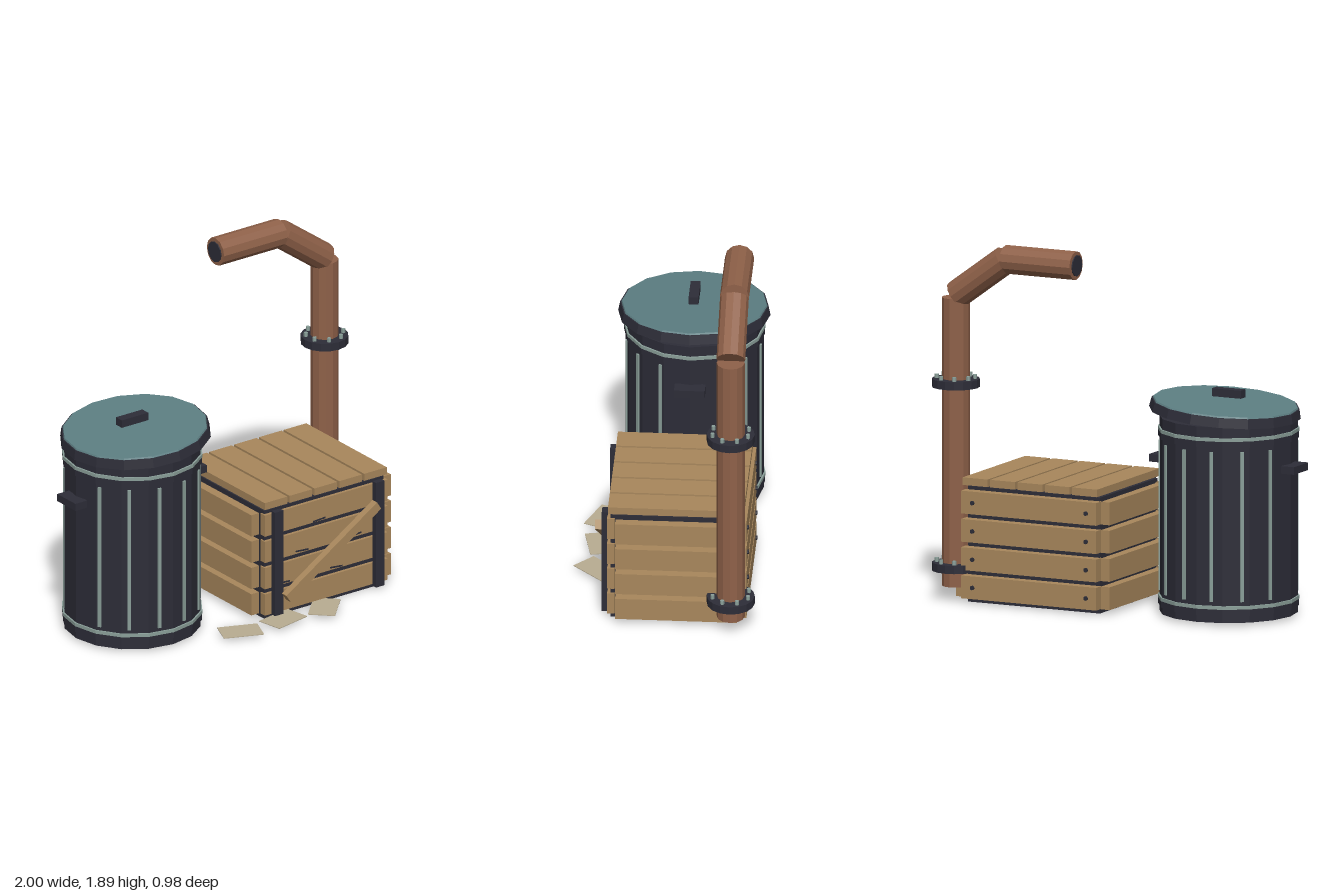
import * as THREE from 'three';

const mat = (name, color) => {
  const m = new THREE.MeshStandardMaterial({ color, flatShading: true });
  m.name = name;
  return m;
};

export function createModel() {
  const root = new THREE.Group();
  root.name = 'alleyProps';
  const dark = mat('darkMetal', 0x2d2d38);
  const teal = mat('lidTeal', 0x5d7f83);
  const trim = mat('paleTrim', 0x8a9f99);
  const wood = mat('crateWood', 0xa8875c);
  const rust = mat('rustyPipe', 0x8f6149);
  const paper = mat('paper', 0xb9ad92);

  const add = (parent, name, geo, m, x, y, z) => {
    const mesh = new THREE.Mesh(geo, m);
    mesh.name = name;
    mesh.position.set(x, y, z);
    parent.add(mesh);
    return mesh;
  };
  const group = (name) => {
    const g = new THREE.Group();
    g.name = name;
    root.add(g);
    return g;
  };
  // box given by its extents along each axis
  const span = (parent, name, m, x0, x1, y0, y1, z0, z1) =>
    add(parent, name, new THREE.BoxGeometry(x1 - x0, y1 - y0, z1 - z0), m,
      (x0 + x1) / 2, (y0 + y1) / 2, (z0 + z1) / 2);
  const cyl = (r, h, n, r2 = r) => new THREE.CylinderGeometry(r, r2, h, n);

  // ---- Trash can ----
  const can = group('trashCan');
  can.position.set(-0.575, 0, -0.085);
  add(can, 'canBody', cyl(0.36, 1.03, 16), dark, 0, 0.535, 0);
  for (const y of [0.1, 0.985]) {
    add(can, 'paleHoop', cyl(0.369, 0.018, 16), trim, 0, y, 0);
    add(can, 'darkHoop', cyl(0.367, 0.034, 16), dark, 0, y - 0.026, 0);
  }
  // vertical ribs, leaving out the two under the handles
  for (let i = 0; i < 14; i++) {
    const a = (i + 0.5) * Math.PI / 7;
    if (Math.abs(Math.cos(a)) < 0.01) continue;
    const rib = add(can, 'rib', new THREE.BoxGeometry(0.018, 0.79, 0.016), trim,
      Math.sin(a) * 0.355, 0.525, Math.cos(a) * 0.355);
    rib.rotation.y = a;
  }
  for (const s of [-1, 1])
    add(can, 'sideHandle', new THREE.BoxGeometry(0.075, 0.04, 0.16), dark, s * 0.3855, 0.805, 0);

  // tilted lid
  const lid = new THREE.Group();
  lid.name = 'lid';
  lid.position.set(0.02, 1.09, 0);
  lid.rotation.z = 0.078;
  can.add(lid);
  add(lid, 'lidRim', cyl(0.386, 0.05, 16, 0.396), dark, 0, 0, 0);
  add(lid, 'lidTop', cyl(0.376, 0.008, 16, 0.38), teal, 0, 0.029, 0);
  add(can, 'lidHandle', new THREE.BoxGeometry(0.17, 0.042, 0.052), dark, 0, 1.17, 0);

  // ---- Crate ----
  const crate = group('crate');
  span(crate, 'crateCore', dark, 0.02, 0.79, 0.005, 0.615, -0.39, 0.262);
  for (let i = 0; i < 4; i++) {
    const y0 = 0.03 + i * 0.149, y1 = y0 + 0.12;
    span(crate, 'frontPlank', wood, 0.012, 0.802, y0, y1, 0.24, 0.28);
    span(crate, 'backPlank', wood, 0.012, 0.802, y0, y1, -0.445, -0.385);
    span(crate, 'leftPlank', wood, 0.805, 0.855, y0, y1, -0.4, 0.235);
    span(crate, 'rightPlank', wood, -0.043, 0.007, y0, y1, -0.4, 0.235);
    // nails on the back planks
    for (const x of [0.072, 0.735]) {
      const nail = add(crate, 'nail', cyl(0.012, 0.012, 8), dark, x, y0 + 0.06, -0.447);
      nail.rotation.x = Math.PI / 2;
    }
  }
  for (let i = 0; i < 5; i++) {
    const x0 = 0.015 + i * 0.16;
    span(crate, 'topSlat', wood, x0, x0 + 0.145, 0.625, 0.665, -0.43, 0.275);
  }
  for (const x of [0.055, 0.705])
    span(crate, 'frontPost', dark, x, x + 0.055, 0.02, 0.612, 0.278, 0.31);
  const brace = add(crate, 'diagonalBrace', new THREE.BoxGeometry(0.695, 0.05, 0.04), wood, 0.405, 0.312, 0.329);
  brace.rotation.z = 0.575;
  // splits in the front planks
  const splits = [[0.36, 0.485, 0.06], [0.25, 0.34, -0.08], [0.59, 0.34, 0.1], [0.13, 0.19, -0.06], [0.47, 0.19, -0.1]];
  for (const [x, y, a] of splits) {
    const split = add(crate, 'woodSplit', new THREE.BoxGeometry(0.08, 0.008, 0.005), dark, x, y, 0.281);
    split.rotation.z = a;
  }

  // ---- Pipe ----
  const pipe = group('pipe');
  pipe.position.set(0.872, 0, -0.368);
  add(pipe, 'uprightPipe', cyl(0.073, 1.52, 12), rust, 0, 0.84, 0);
  const elbow = add(pipe, 'elbowPipe', cyl(0.075, 0.35, 12), rust, -0.148, 1.717, 0);
  elbow.rotation.z = Math.atan2(0.278, 0.203);
  const spout = add(pipe, 'spoutPipe', cyl(0.076, 0.41, 12), rust, -0.497, 1.823, 0);
  spout.rotation.z = Math.PI / 2;
  const mouth = add(pipe, 'spoutMouth', cyl(0.056, 0.006, 12), dark, -0.707, 1.823, 0);
  mouth.rotation.z = Math.PI / 2;
  for (const y of [0.182, 1.15]) {
    add(pipe, 'flange', cyl(0.125, 0.043, 16), dark, 0, y, 0);
    for (let i = 0; i < 8; i++) {
      const a = i * Math.PI / 4 + Math.PI / 8;
      add(pipe, 'bolt', cyl(0.011, 0.024, 6), trim, Math.sin(a) * 0.1, y + 0.032, Math.cos(a) * 0.1);
    }
  }

  // ---- Scattered papers ----
  const papers = group('papers');
  for (const [x, z, a] of [[-0.2, 0.355, -0.38], [0.072, 0.358, 0.2], [0.335, 0.36, 0.8]]) {
    const sheet = add(papers, 'paperSheet', new THREE.BoxGeometry(0.215, 0.004, 0.142), paper, x, 0.025, z);
    sheet.rotation.y = a;
  }
  return root;
}
